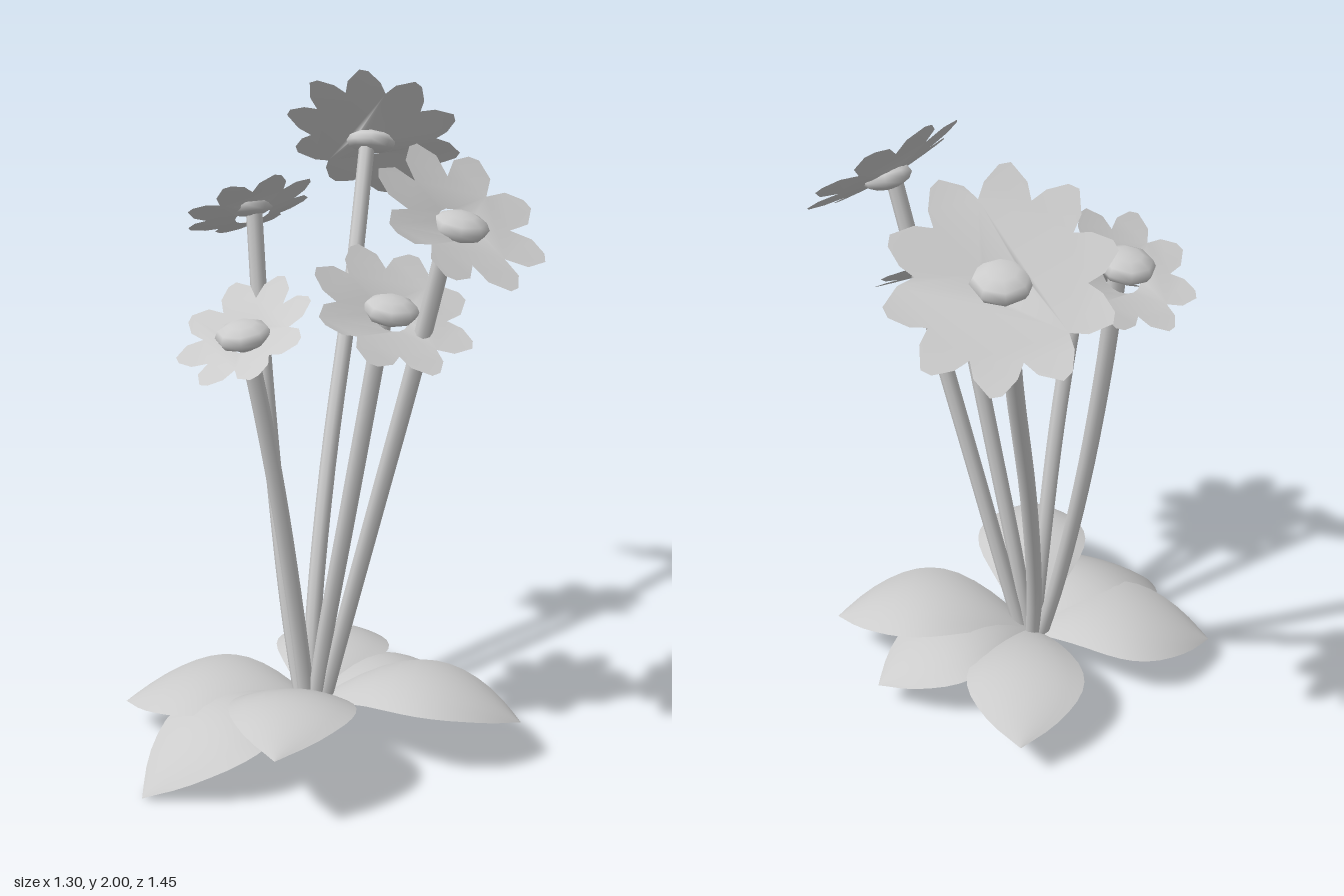
import * as THREE from 'three';

const material = new THREE.MeshStandardMaterial({ color: 0xcccccc, side: THREE.DoubleSide });
const UP = new THREE.Vector3(0, 1, 0);
const vec = (p) => new THREE.Vector3(...p);

// Each flower: middle of the petal tips, facing, radius, petal count, notch depth, button middle, stem path
const FLOWERS = [
  { name: 'backLeftFlower', at: [-0.4, 1.785, -0.51], normal: [-0.43, 0.65, -0.63], r: 0.285, petals: 10, notch: 0.72,
    button: [-0.385, 1.765, -0.485],
    stem: [[-0.03, 0.05, 0.12], [-0.08, 0.35, 0.06], [-0.16, 0.82, -0.08], [-0.26, 1.35, -0.28], [-0.37, 1.75, -0.45]] },
  { name: 'leftFlower', at: [-0.41, 1.615, 0.01], normal: [-0.54, 0.83, -0.1], r: 0.205, petals: 8, notch: 0.68,
    button: [-0.4, 1.62, 0.02],
    stem: [[-0.04, 0.05, 0.13], [-0.135, 0.38, 0.11], [-0.25, 0.85, 0.07], [-0.33, 1.28, 0.04], [-0.375, 1.6, 0.02]] },
  { name: 'rightFlower', at: [0.45, 1.69, 0], normal: [0.66, 0.75, 0.03], r: 0.255, petals: 8, notch: 0.62,
    button: [0.44, 1.66, 0],
    stem: [[0, 0.05, 0.12], [0.07, 0.35, 0.09], [0.19, 0.8, 0.06], [0.31, 1.25, 0.03], [0.41, 1.64, 0.01]] },
  { name: 'innerRightFlower', at: [0.28, 1.425, 0.08], normal: [0.59, 0.79, 0.1], r: 0.24, petals: 8, notch: 0.68,
    button: [0.262, 1.415, 0.075],
    stem: [[-0.01, 0.05, 0.13], [0.04, 0.35, 0.125], [0.13, 0.78, 0.115], [0.19, 1.1, 0.1], [0.24, 1.4, 0.08]] },
  { name: 'frontFlower', at: [-0.005, 1.365, 0.38], normal: [0.07, 0.8, 0.6], r: 0.205, petals: 8, notch: 0.65,
    button: [-0.01, 1.347, 0.375],
    stem: [[-0.02, 0.04, 0.13], [-0.02, 0.35, 0.17], [-0.01, 0.8, 0.25], [-0.01, 1.1, 0.31], [-0.015, 1.33, 0.36]] },
];

// Each leaf: tip position, height of the arch, half width
const LEAVES = [
  { name: 'frontLeftLeaf', tip: [-0.49, 0.08, 0.49], arch: 0.2, half: 0.2 },
  { name: 'frontLeaf', tip: [-0.1, 0, 0.72], arch: 0.19, half: 0.195 },
  { name: 'frontRightLeaf', tip: [0.32, 0.24, 0.57], arch: 0.3, half: 0.18 },
  { name: 'rightLeaf', tip: [0.52, 0.13, -0.24], arch: 0.25, half: 0.18 },
  { name: 'backLeaf', tip: [0.22, 0.08, -0.37], arch: 0.2, half: 0.18 },
  { name: 'backLeftLeaf', tip: [-0.34, 0.12, -0.34], arch: 0.21, half: 0.18 },
];

function part(name, geometry) {
  const mesh = new THREE.Mesh(geometry, material);
  mesh.name = name;
  return mesh;
}

// Shallow cup of pointed petals with an open middle, one petal pointing along +y
function petalGeometry(r, count, notch) {
  const points = [];
  const step = (Math.PI * 2) / count;
  for (let i = 0; i < count; i++) {
    for (const [offset, radius] of [[-0.5, notch], [-0.34, 0.86], [-0.06, 1], [0.1, 0.98], [0.34, 0.85]]) {
      const a = Math.PI / 2 + (i + offset) * step;
      points.push(new THREE.Vector2(Math.cos(a) * radius * r, Math.sin(a) * radius * r));
    }
  }
  const shape = new THREE.Shape(points);
  const inner = 0.055;
  shape.holes.push(new THREE.Path().absarc(0, 0, inner, 0, Math.PI * 2, true));

  const geometry = new THREE.ShapeGeometry(shape, count);
  const position = geometry.attributes.position;
  for (let i = 0; i < position.count; i++) {
    const distance = Math.hypot(position.getX(i), position.getY(i));
    position.setZ(i, -0.035 * Math.min(1, (r - distance) / (r - inner)));
  }
  geometry.computeVertexNormals();
  return geometry;
}

function makeFlower({ name, at, normal, r, petals, notch, button, stem }) {
  const flower = new THREE.Group();
  flower.name = name;

  const curve = new THREE.CatmullRomCurve3(stem.map(vec));
  flower.add(part('stem', new THREE.TubeGeometry(curve, 16, 0.025, 8)));

  // Petals face along the normal with one petal uphill
  const n = vec(normal).normalize();
  const uphill = UP.clone().addScaledVector(n, -n.y).normalize();
  const side = new THREE.Vector3().crossVectors(uphill, n);
  const blossom = part('petals', petalGeometry(r, petals, notch));
  blossom.quaternion.setFromRotationMatrix(new THREE.Matrix4().makeBasis(side, uphill, n));
  blossom.position.copy(vec(at));
  flower.add(blossom);

  // Flattened button in the cup, tilted a little less than the petals
  const heart = part('button', new THREE.SphereGeometry(0.08, 8, 6));
  heart.scale.y = 0.48;
  heart.quaternion.setFromUnitVectors(UP, n.clone().lerp(UP, 0.7).normalize());
  heart.position.copy(vec(button));
  flower.add(heart);
  return flower;
}

// Broad arched leaf: a plane bent along its length, edges drooping
function makeLeaf({ name, tip, arch, half }) {
  const base = new THREE.Vector3(-0.02, 0.12, 0.12);
  const end = vec(tip);
  const control = base.clone().add(end).multiplyScalar(0.5);
  control.y = 2 * arch - control.y;
  const spine = new THREE.QuadraticBezierCurve3(base, control, end);
  const across = new THREE.Vector3(end.z - base.z, 0, base.x - end.x).normalize();
  const outline = new THREE.SplineCurve([[0, 0.08], [0.2, 0.55], [0.45, 0.98], [0.65, 0.98], [0.85, 0.58], [1, 0]]
    .map(([t, w]) => new THREE.Vector2(t, w)));

  const geometry = new THREE.PlaneGeometry(2, 1, 8, 14);
  const position = geometry.attributes.position;
  for (let i = 0; i < position.count; i++) {
    const u = position.getX(i);
    const o = outline.getPoint(0.5 - position.getY(i));
    const width = Math.max(o.y, 0);
    const p = spine.getPoint(Math.min(Math.max(o.x, 0), 1)).addScaledVector(across, u * width * half);
    p.y -= 0.035 * u * u * width;
    position.setXYZ(i, p.x, p.y, p.z);
  }
  geometry.computeVertexNormals();
  return part(name, geometry);
}

export function createModel() {
  const model = new THREE.Group();
  model.name = 'flowerPlant';
  model.add(...FLOWERS.map(makeFlower), ...LEAVES.map(makeLeaf));
  return model;
}
